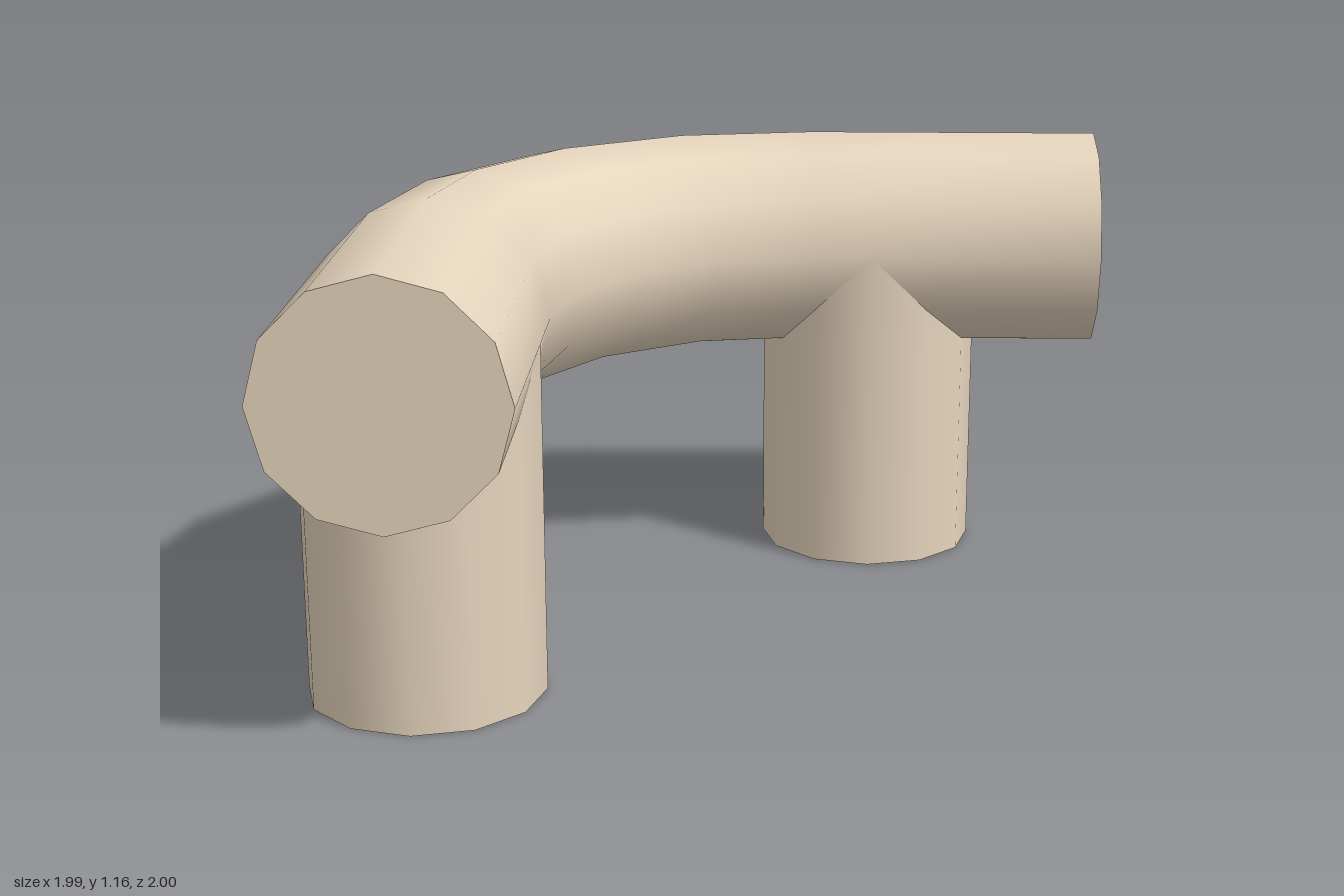
import * as THREE from 'three';

const R = 0.292, SIDES = 12, AXIS_Y = 0.866;

export function createModel() {
  const group = new THREE.Group();
  const material = new THREE.MeshStandardMaterial({ color: 0xe6d5bd });
  const add = (name, geometry, x, y, z) => {
    const mesh = new THREE.Mesh(geometry, material);
    mesh.name = name;
    mesh.position.set(x, y, z);
    group.add(mesh);
    return mesh;
  };

  // Rings along the bent pipe: centre x, centre z, turn in degrees
  const rings = [
    [-0.707, 1, 0], [-0.707, 0.218, 3.4], [-0.635, -0.14, 22.3], [-0.437, -0.44, 45],
    [-0.135, -0.64, 67.7], [0.22, -0.708, 86.6], [0.992, -0.708, 90],
  ];
  const positions = [], index = [];
  rings.forEach(([x, z, degrees], i) => {
    const a = THREE.MathUtils.degToRad(degrees);
    for (let j = 0; j < SIDES; j++) {
      const t = (j / SIDES) * Math.PI * 2, out = R * Math.cos(t);
      positions.push(x - Math.cos(a) * out, R * Math.sin(t), z - Math.sin(a) * out);
      if (i === rings.length - 1) continue;
      const k = (j + 1) % SIDES, p = i * SIDES, q = p + SIDES;
      index.push(p + j, p + k, q + j, p + k, q + k, q + j);
    }
  });
  const pipe = new THREE.BufferGeometry();
  pipe.setAttribute('position', new THREE.Float32BufferAttribute(positions, 3));
  pipe.setIndex(index);
  pipe.computeVertexNormals();
  add('bentPipe', pipe, 0, AXIS_Y, 0);

  // Flat pipe ends
  const disc = new THREE.CircleGeometry(R, SIDES);
  add('frontPipeEnd', disc, -0.707, AXIS_Y, 1);
  add('leftPipeEnd', disc, 0.992, AXIS_Y, -0.708).rotation.y = Math.PI / 2;

  // Upright legs that run up to the pipe's axis
  const leg = new THREE.CylinderGeometry(R, R, AXIS_Y, SIDES);
  add('frontLeg', leg, -0.707, AXIS_Y / 2, 0.473);
  add('backLeg', leg, 0.383, AXIS_Y / 2, -0.708);

  return group;
}
